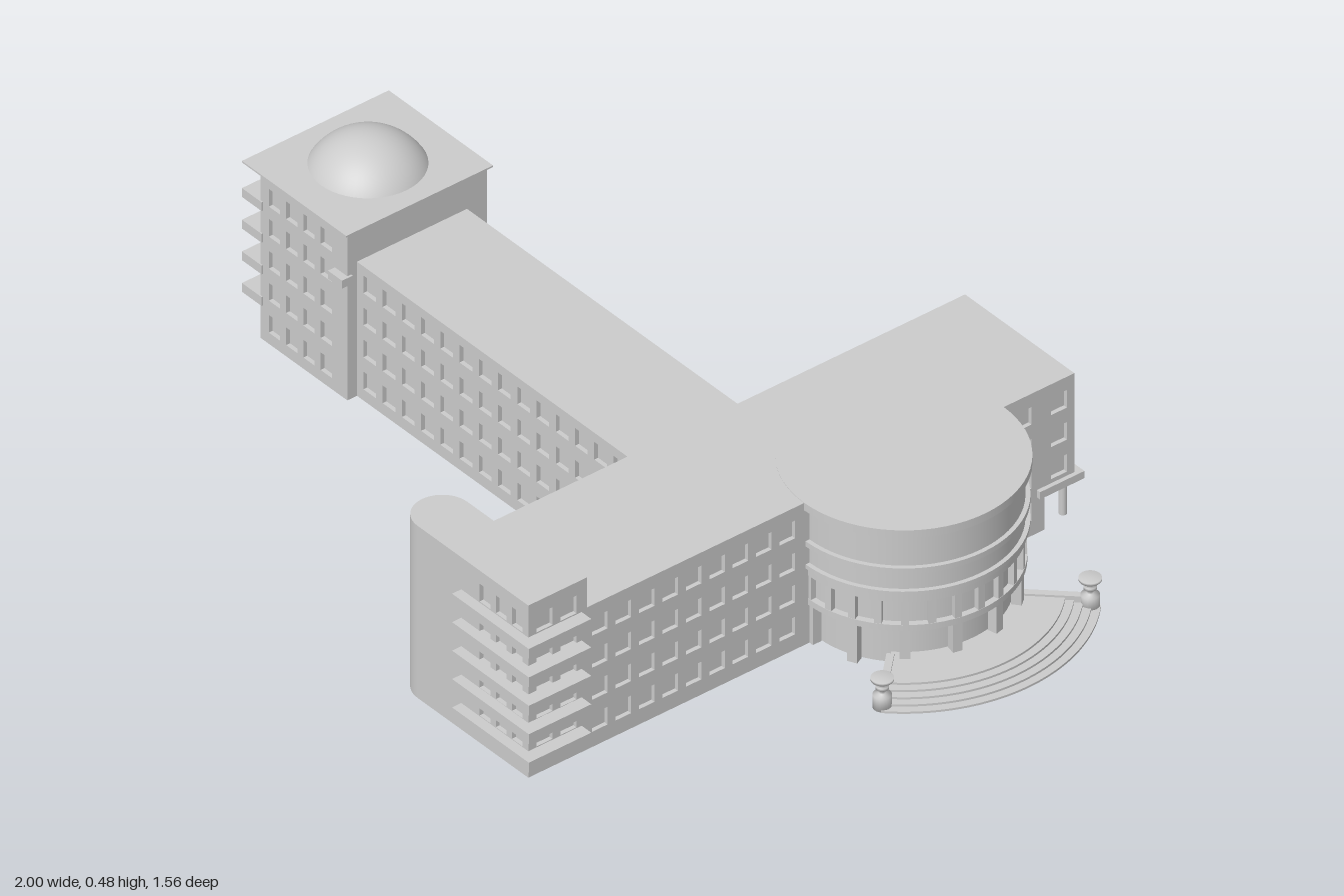
import * as THREE from 'three';

const mat = new THREE.MeshStandardMaterial({ color: 0xcccccc, side: THREE.DoubleSide });
const T = 0.01; // facade thickness = window reveal depth

function add(parent, name, geo, x = 0, y = 0, z = 0, ry = 0) {
  const m = new THREE.Mesh(geo, mat);
  m.name = name;
  m.position.set(x, y, z);
  m.rotation.y = ry;
  parent.add(m);
  return m;
}

// box given by its extents
function box(parent, name, x0, x1, y0, y1, z0, z1) {
  return add(parent, name, new THREE.BoxGeometry(x1 - x0, y1 - y0, z1 - z0),
    (x0 + x1) / 2, (y0 + y1) / 2, (z0 + z1) / 2);
}

// wall panel with rows of window holes; bays = [[start, end, count], ...] in local x
function panel(w, y0, y1, bays, rows) {
  const s = new THREE.Shape([[-w / 2, y0], [w / 2, y0], [w / 2, y1], [-w / 2, y1]]
    .map(p => new THREE.Vector2(...p)));
  for (const [s0, s1, n] of bays) {
    const step = (s1 - s0) / n, hw = Math.min(0.021, Math.abs(step) * 0.33);
    for (let i = 0; i < n; i++) for (const y of rows) {
      const x = s0 + step * (i + 0.5);
      s.holes.push(new THREE.Path([[x - hw, y - 0.022], [x - hw, y + 0.022], [x + hw, y + 0.022], [x + hw, y - 0.022]]
        .map(p => new THREE.Vector2(...p))));
    }
  }
  return new THREE.ExtrudeGeometry(s, { depth: T, bevelEnabled: false });
}

// building volume: inset core plus four pierced facades
function block(parent, name, [x0, x1, y0, y1, z0, z1], rows, wins = {}) {
  const g = new THREE.Group();
  g.name = name;
  parent.add(g);
  const cx = (x0 + x1) / 2, cz = (z0 + z1) / 2, w = x1 - x0, d = z1 - z0;
  box(g, 'core', x0 + T, x1 - T, y0, y1, z0 + T, z1 - T);
  const local = (list = [], c, sign) => list.map(([s, e, n]) => [sign * (s - c), sign * (e - c), n]);
  add(g, 'frontFacade', panel(w - 2 * T, y0, y1, local(wins.front, cx, 1), rows), cx, 0, z1 - T);
  add(g, 'backFacade', panel(w - 2 * T, y0, y1, local(wins.back, cx, -1), rows), cx, 0, z0 + T, Math.PI);
  add(g, 'leftFacade', panel(d, y0, y1, local(wins.left, cz, -1), rows), x1 - T, 0, cz, Math.PI / 2);
  add(g, 'rightFacade', panel(d, y0, y1, local(wins.right, cz, 1), rows), x0 + T, 0, cz, -Math.PI / 2);
  return g;
}

// flat ring sector centred on +x
function sector(r0, r1, half, h) {
  const s = new THREE.Shape();
  s.absarc(0, 0, r1, -half, half, false);
  s.absarc(0, 0, r0, half, -half, true);
  return new THREE.ExtrudeGeometry(s, { depth: h, bevelEnabled: false, curveSegments: 32 }).rotateX(-Math.PI / 2);
}

export function createModel() {
  const model = new THREE.Group();
  model.name = 'building';
  const site = new THREE.Group();
  site.name = 'site';
  site.rotation.y = -Math.atan(0.5);
  model.add(site);

  // main hall and its overhanging end storeys
  const rows4 = [0.06, 0.14, 0.22, 0.3];
  block(site, 'mainBlock', [0.125, 0.474, 0, 0.355, -0.76, 0.447], rows4, {
    left: [[-0.12, 0.43, 9], [-0.75, -0.66, 1]],
    right: [[-0.75, -0.27, 7], [0.04, 0.44, 6]],
  });
  block(site, 'overhangEnd', [0.125, 0.474, 0.1, 0.355, -0.838, -0.76], rows4.slice(1), {
    left: [[-0.83, -0.765, 1]], right: [[-0.83, -0.765, 1]],
  });
  box(site, 'endCanopy', 0.115, 0.484, 0.09, 0.108, -0.856, -0.74);
  for (let i = 0; i < 5; i++)
    add(site, 'endColumn', new THREE.CylinderGeometry(0.009, 0.009, 0.09, 12), 0.145 + i * 0.077, 0.045, -0.825);
  box(site, 'endDoor', 0.24, 0.36, 0, 0.075, -0.768, -0.75);

  // long wing
  block(site, 'wing', [-0.77, 0.13, 0, 0.335, -0.262, 0.025], [0.05, 0.13, 0.21, 0.29], {
    front: [[-0.75, 0.11, 14]], back: [[-0.75, 0.11, 14]],
  });

  // observatory block with thin roof, balconies and dome
  block(site, 'domeBlock', [-1.038, -0.76, 0, 0.41, -0.314, 0.05], [0.05, 0.13, 0.21, 0.29, 0.365], {
    front: [[-1.02, -0.8, 4]], back: [[-1.02, -0.78, 4]], right: [[-0.3, -0.13, 3], [-0.11, 0.04, 2]],
  });
  box(site, 'domeBlockRoof', -1.093, -0.76, 0.408, 0.412, -0.33, 0.053);
  box(site, 'backCanopy', -1.09, -0.9, 0.09, 0.108, -0.33, -0.3);
  box(site, 'cornerLedge', -0.8, -0.755, 0.29, 0.31, 0.04, 0.068);
  for (let i = 0; i < 4; i++)
    box(site, 'domeBlockBalcony', -1.093, -1.03, 0.085 + i * 0.079, 0.107 + i * 0.079, -0.12, 0.053);
  const R = 0.143;
  add(site, 'dome', new THREE.SphereGeometry(R, 48, 16, 0, Math.PI * 2, 0, Math.acos((R - 0.07) / R)),
    -0.927, 0.481 - R, -0.14);

  // stair tower with rounded side and wrap-around balconies
  const towerRows = [0.09, 0.16, 0.23, 0.3, 0.375];
  block(site, 'tower', [0.3, 0.474, 0, 0.43, 0.433, 0.586], towerRows, {
    front: [[0.31, 0.465, 3]], left: [[0.45, 0.575, 2]],
  });
  box(site, 'towerStair', 0.12, 0.31, 0, 0.43, 0.456, 0.586);
  add(site, 'towerRound', new THREE.CylinderGeometry(0.065, 0.065, 0.43, 40), 0.12, 0.215, 0.521);
  for (let i = 0; i < 5; i++)
    box(site, 'towerBalcony', 0.26, 0.505, 0.042 + i * 0.071, 0.066 + i * 0.071, 0.447, 0.61);

  // rotunda: solid of revolution with a recessed window band
  const rotunda = new THREE.Group();
  rotunda.name = 'rotunda';
  rotunda.position.set(0.474, 0, -0.393);
  site.add(rotunda);
  const ring = (name, r, y0, y1) =>
    add(rotunda, name, new THREE.CylinderGeometry(r, r, y1 - y0, 72), 0, (y0 + y1) / 2, 0);
  ring('groundWall', 0.222, 0, 0.1);
  ring('windowSill', 0.25, 0.097, 0.112);
  ring('windowRecess', 0.236, 0.112, 0.17);
  ring('upperWall', 0.25, 0.17, 0.19);
  ring('lowerMoulding', 0.256, 0.19, 0.2);
  ring('friezeWall', 0.246, 0.2, 0.245);
  ring('upperMoulding', 0.256, 0.245, 0.258);
  ring('atticWall', 0.246, 0.258, 0.337);
  ring('cornice', 0.26, 0.337, 0.356);
  const piers = 14;
  for (let i = 0; i <= piers; i++) {
    const t = (i / piers - 0.5) * Math.PI;
    const c = Math.cos(t), s = Math.sin(t);
    add(rotunda, 'windowPier', new THREE.BoxGeometry(0.016, 0.062, 0.016), 0.241 * c, 0.141, 0.241 * s, -t);
    if (i % 2 === 0)
      add(rotunda, 'column', new THREE.BoxGeometry(0.022, 0.1, 0.022), 0.235 * c, 0.05, 0.235 * s, -t);
  }

  // fan of entrance steps with side walls and lamps
  for (let i = 0; i < 5; i++)
    add(rotunda, 'step', sector(0.2, 0.4 - i * 0.018, 0.8, 0.005 * (i + 1)));
  const lamp = new THREE.LatheGeometry([[0, 0], [0.02, 0], [0.02, 0.032], [0.006, 0.035], [0.006, 0.042], [0.014, 0.047],
    [0.014, 0.054], [0.006, 0.06], [0.024, 0.068], [0.024, 0.074], [0, 0.074]]
    .map(p => new THREE.Vector2(...p)), 20);
  for (const side of [-1, 1]) {
    const t = side * 0.8, c = Math.cos(t), s = Math.sin(t);
    add(rotunda, 'stepWall', new THREE.BoxGeometry(0.14, 0.03, 0.016), 0.305 * c, 0.015, 0.305 * s, -t);
    add(rotunda, 'lamp', lamp, 0.378 * c, 0, 0.378 * s);
  }
  return model;
}
